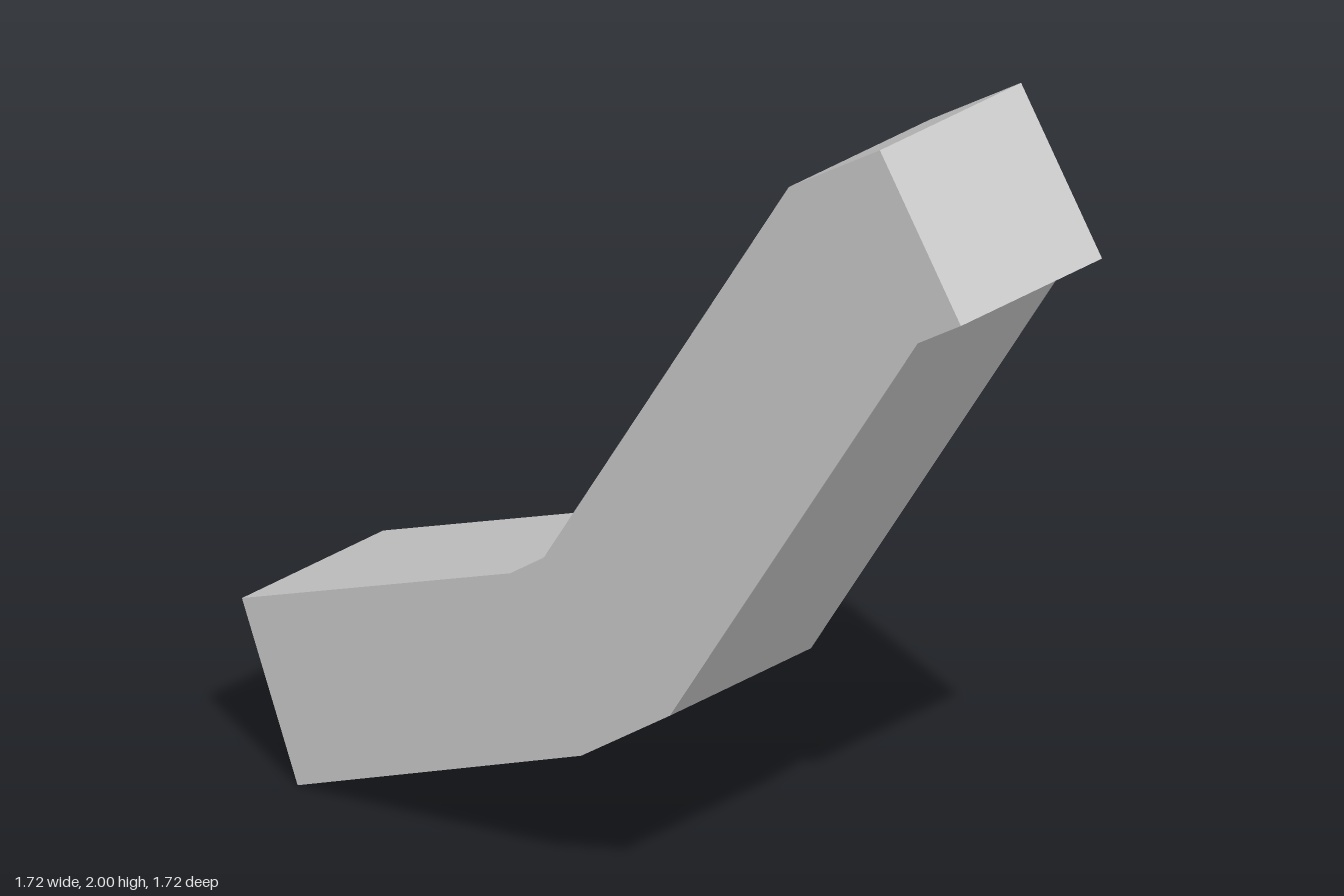
import * as THREE from 'three';

export function createModel() {
  const model = new THREE.Group();
  const material = new THREE.MeshStandardMaterial({ color: 0xcccccc, flatShading: true });

  // Side outline of the bent bar: distance along the x = z diagonal, height
  const outline = [
    [-0.60, 0], [-0.04, 0.335], [0.135, 0.51], [0.625, 1.595], [0.71, 1.675],
    [0.55, 2], [0.37, 1.83], [-0.115, 0.75], [-0.18, 0.685], [-0.71, 0.375],
  ].map(([t, y]) => new THREE.Vector2(t * Math.SQRT2, y));

  // Constant width across the diagonal
  const width = 0.3 * Math.SQRT2;
  const geometry = new THREE.ExtrudeGeometry(new THREE.Shape(outline), {
    depth: width, bevelEnabled: false,
  });
  geometry.translate(0, 0, -width / 2);

  const bar = new THREE.Mesh(geometry, material);
  bar.name = 'bentBar';
  bar.rotation.y = -Math.PI / 4;
  model.add(bar);
  return model;
}
